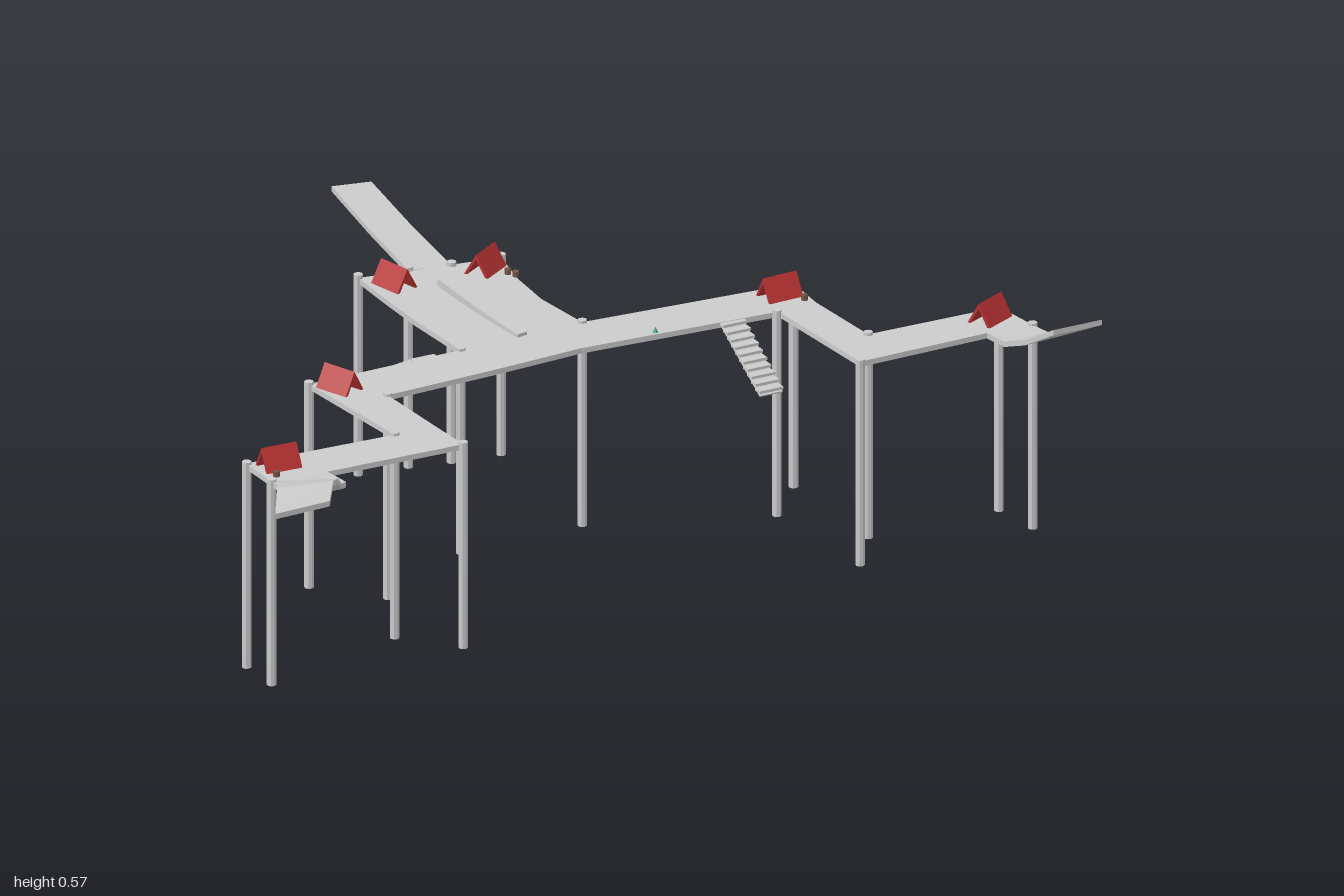
import * as THREE from 'three';

const DECK = 0.455, THICK = 0.012;
const mat = (color) => new THREE.MeshStandardMaterial({ color, flatShading: true, side: THREE.DoubleSide });
const grey = mat(0xcccccc), red = mat(0xb83232), brown = mat(0x7a5548), green = mat(0x2f9e6e);

function part(name, geometry, material, parent) {
  const m = new THREE.Mesh(geometry, material);
  m.name = name;
  parent.add(m);
  return m;
}

// Slab swept through sections [leftX, leftZ, rightX, rightZ, topY], left being left of travel
function slab(sections, thick = THICK) {
  const pos = [], idx = [];
  for (const [ax, az, bx, bz, y] of sections)
    pos.push(ax, y, az, bx, y, bz, bx, y - thick, bz, ax, y - thick, az);
  const n = sections.length;
  for (let i = 0; i < n - 1; i++)
    for (let k = 0; k < 4; k++) {
      const a = i * 4 + k, b = i * 4 + (k + 1) % 4;
      idx.push(a, b, b + 4, a, b + 4, a + 4);
    }
  const e = (n - 1) * 4;
  idx.push(0, 2, 1, 0, 3, 2, e, e + 1, e + 2, e, e + 2, e + 3);
  const g = new THREE.BufferGeometry();
  g.setAttribute('position', new THREE.Float32BufferAttribute(pos, 3));
  g.setIndex(idx);
  const flat = g.toNonIndexed();
  flat.computeVertexNormals();
  return flat;
}

// Open A-frame shelter, ridge along (dx, dz)
function shelter(x, y, z, dx, dz, parent) {
  const s = new THREE.Shape([[-0.028, 0], [-0.021, 0], [0, 0.037], [0.021, 0], [0.028, 0], [0, 0.048]]
    .map(([u, v]) => new THREE.Vector2(u, v)));
  const g = new THREE.ExtrudeGeometry(s, { depth: 0.08, bevelEnabled: false });
  g.translate(0, 0, -0.04);
  const m = part('shelter', g, red, parent);
  m.position.set(x, y, z);
  m.rotation.y = Math.atan2(dx, dz);
}

// Descending stair running along local +x
function stairs(x, z, angle, parent) {
  const g = new THREE.Group();
  g.name = 'stairs';
  const steps = 10, run = 0.0175, rise = 0.0098;
  for (let i = 0; i < steps; i++) {
    const t = part('tread', new THREE.BoxGeometry(run + 0.003, 0.006, 0.055), grey, g);
    t.position.set((i + 0.5) * run, -0.004 - i * rise, 0);
  }
  const len = Math.hypot(steps * run, steps * rise);
  const under = part('stairUnderside', new THREE.BoxGeometry(len, 0.004, 0.053), grey, g);
  under.position.set(steps * run / 2, -0.008 - (steps - 1) * rise / 2, 0);
  under.rotation.z = -Math.atan2(rise, run);
  g.position.set(x, DECK, z);
  g.rotation.y = angle;
  parent.add(g);
}

export function createModel() {
  const model = new THREE.Group();
  model.name = 'elevatedWalkway';

  // Level zigzag walkway
  const outline = [
    [0.145, -0.735], [0.25, -0.71], [0.447, -0.69], [0.505, -0.99], [0.62, -0.985], [0.595, -0.885],
    [0.548, -0.588], [0.24, -0.62], [0.135, -0.185], [0.112, 0.02], [0.077, 0.28], [0.373, 0.318],
    [0.31, 0.625], [0.278, 0.747], [0.172, 0.73], [0.246, 0.397], [-0.07, 0.37], [-0.013, 0.016], [0.03, -0.27],
  ];
  const deck = new THREE.ExtrudeGeometry(
    new THREE.Shape(outline.map(([x, z]) => new THREE.Vector2(x, -z))),
    { depth: THICK, bevelEnabled: false });
  deck.rotateX(-Math.PI / 2);
  deck.translate(0, DECK - THICK, 0);
  part('walkway', deck, grey, model);

  // Side platform dipping slightly, and its long straight ramp
  part('sidePlatform', slab([
    [-0.013, 0.016, 0.03, -0.27, DECK], [-0.2, -0.016, -0.13, -0.29, 0.448],
    [-0.33, -0.045, -0.25, -0.325, 0.443], [-0.463, -0.074, -0.362, -0.37, 0.441],
  ]), grey, model);
  part('sideRamp', slab([
    [-0.43, -0.18, -0.394, -0.265, 0.441], [-0.65, -0.252, -0.615, -0.333, 0.441],
    [-0.855, -0.318, -0.823, -0.397, 0.449],
  ]), grey, model);

  // Curved strip on the side platform
  part('raisedStrip', slab([
    [-0.325, -0.2, -0.325, -0.173, 0.459], [-0.16, -0.172, -0.15, -0.138, 0.461],
    [0.01, -0.14, 0.01, -0.115, 0.462],
  ], 0.018), grey, model);

  // Rising ramps at both ends
  part('frontRamp', slab([
    [0.31, 0.625, 0.278, 0.747, DECK], [0.39, 0.64, 0.368, 0.768, 0.463],
    [0.45, 0.70, 0.40, 0.81, 0.495], [0.50, 0.75, 0.43, 0.855, 0.537],
    [0.56, 0.81, 0.515, 0.922, 0.568], [0.617, 0.865, 0.60, 0.995, 0.557],
  ]), grey, model);
  part('backRamp', slab([
    [0.62, -0.985, 0.595, -0.885, DECK], [0.69, -0.972, 0.67, -0.87, 0.465],
    [0.76, -0.968, 0.75, -0.86, 0.498], [0.855, -0.98, 0.835, -0.868, 0.547],
  ]), grey, model);

  // Support posts
  const posts = [
    [0.145, -0.735], [0.447, -0.69], [0.505, -0.988], [0.62, -0.985], [0.548, -0.588], [0.24, -0.615],
    [0.077, 0.28], [0.373, 0.318], [0.278, 0.747], [0.175, 0.73], [0.246, 0.397], [-0.07, 0.37],
    [-0.013, 0.016], [0.03, -0.27], [-0.463, -0.074], [-0.43, -0.18], [-0.394, -0.265], [-0.362, -0.37],
  ];
  for (const [x, z] of posts) {
    const h = x < -0.3 ? 0.45 : 0.461;
    part('post', new THREE.CylinderGeometry(0.01, 0.01, h, 8), grey, model).position.set(x, h / 2, z);
  }

  // Shelters: x, base y, z, ridge direction
  for (const s of [
    [0.542, DECK, -0.935, 0.27, 0.96], [0.177, DECK, -0.673, -0.13, 0.99], [-0.33, 0.443, -0.303, 0.38, 0.92],
    [-0.384, 0.443, -0.106, 1, -0.07], [-0.013, DECK, 0.335, 0.97, -0.2], [0.225, DECK, 0.685, -0.22, 0.97],
  ]) shelter(...s, model);

  stairs(0.21, -0.518, -0.18, model);
  stairs(-0.02, 0.1, Math.PI - 0.18, model);

  // Small stools and one plant
  for (const [x, z, y] of [[0.225, -0.70, DECK], [-0.28, -0.322, 0.445], [-0.26, -0.327, 0.445], [0.263, 0.722, DECK]])
    part('stool', new THREE.CylinderGeometry(0.007, 0.007, 0.012, 8), brown, model).position.set(x, y + 0.006, z);
  part('plant', new THREE.ConeGeometry(0.006, 0.012, 6), green, model).position.set(0.165, DECK + 0.006, -0.355);

  return model;
}
